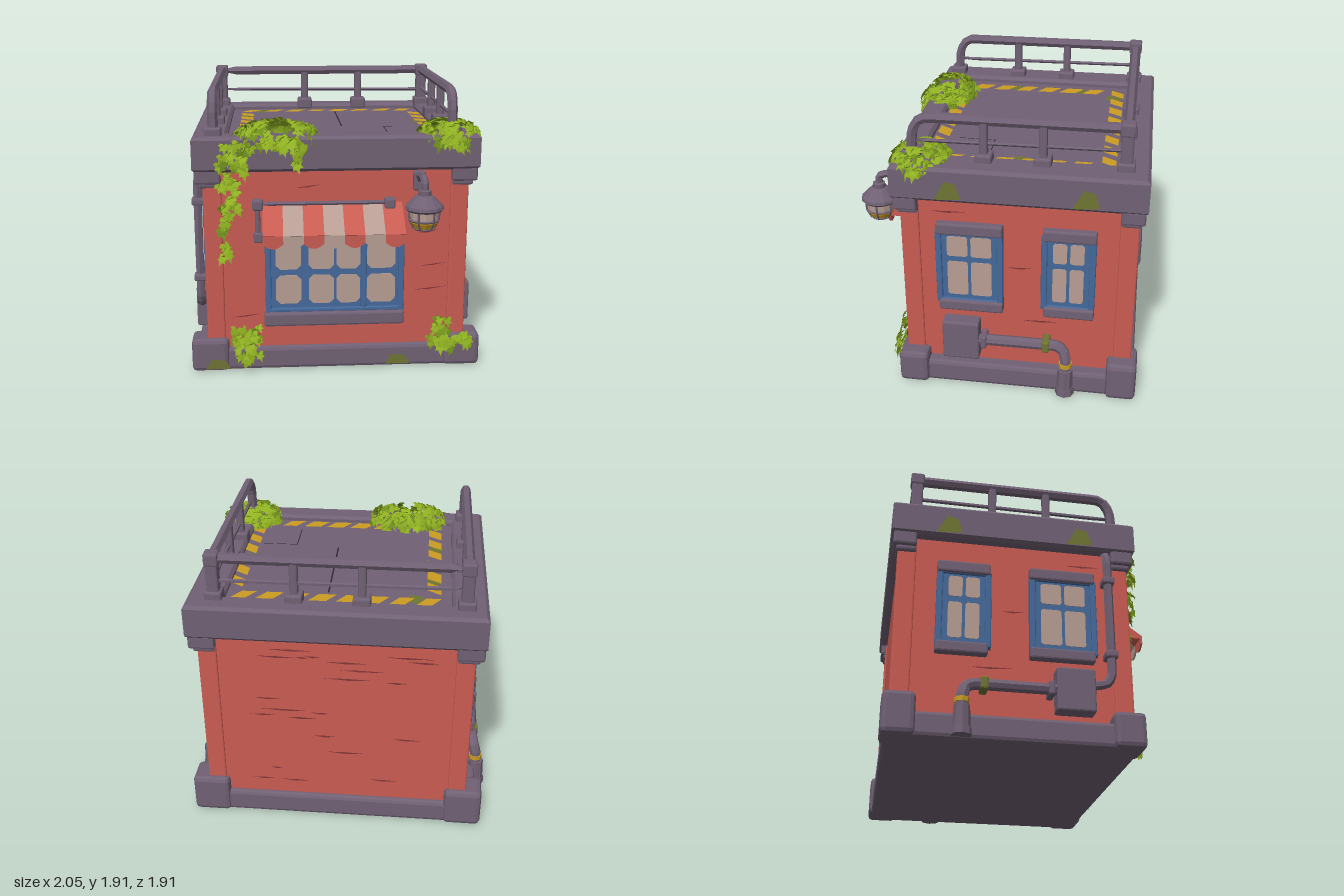
import * as THREE from 'three';
import { mergeGeometries } from 'three/addons/utils/BufferGeometryUtils.js';
import { RoundedBoxGeometry } from 'three/addons/geometries/RoundedBoxGeometry.js';

const V = (x, y, z) => new THREE.Vector3(x, y, z);
const CX = -0.012, CZ = -0.15; // centre of the building

function palette() {
  const colors = {
    wallRed: 0xc95c52, stonePurple: 0x706174, frameBlue: 0x45699a, paneBeige: 0xb79d93, warningYellow: 0xcb9c22,
    leafGreen: 0x90b122, leafDark: 0x6d8c1c, moss: 0x6f7433, crackDark: 0x2d2531, crackRed: 0x84383a,
  };
  const m = {};
  for (const [name, color] of Object.entries(colors)) {
    m[name] = new THREE.MeshStandardMaterial({ color, flatShading: true });
    m[name].name = name;
  }
  m.leafGreen.side = m.leafDark.side = m.moss.side = m.crackDark.side = m.crackRed.side = THREE.DoubleSide;
  return m;
}

export function createModel() {
  const root = new THREE.Group();
  root.name = 'smallShop';
  const M = palette();
  let seed = 11;
  const rnd = (a = 0, b = 1) => {
    seed = (seed * 16807) % 2147483647;
    return a + (b - a) * (seed / 2147483647);
  };

  const add = (name, geo, mat, parent = root) => {
    const mesh = new THREE.Mesh(geo, mat);
    mesh.name = name;
    parent.add(mesh);
    return mesh;
  };
  // chamfered box given by its limits
  const box = (name, mat, x0, x1, y0, y1, z0, z1, parent = root, bevel = 0.012) => {
    const w = x1 - x0, h = y1 - y0, d = z1 - z0;
    const geo = bevel ? new RoundedBoxGeometry(w, h, d, 1, Math.min(bevel, w / 3, h / 3, d / 3)) : new THREE.BoxGeometry(w, h, d);
    const mesh = add(name, geo, mat, parent);
    mesh.position.set((x0 + x1) / 2, (y0 + y1) / 2, (z0 + z1) / 2);
    return mesh;
  };
  const tube = (name, mat, pts, r, sides = 6) => {
    const path = new THREE.CurvePath();
    for (let i = 1; i < pts.length; i++) path.add(new THREE.LineCurve3(pts[i - 1], pts[i]));
    const curve = new THREE.CatmullRomCurve3(pts, false, 'catmullrom', 0.15);
    return add(name, new THREE.TubeGeometry(curve, pts.length * 6, r, sides), mat);
  };
  const polygon = (pts) => new THREE.Shape(pts.map(([x, y]) => new THREE.Vector2(x, y)));
  // flat patch on a face, turned by rx, ry
  const patch = (name, mat, pts, pos, rx = 0, ry = 0) => {
    const mesh = add(name, new THREE.ShapeGeometry(polygon(pts)), mat);
    mesh.position.copy(pos);
    mesh.rotation.set(rx, ry, 0);
    return mesh;
  };

  // Walls, corner pillars, base and corner stones
  box('walls', M.wallRed, CX - 0.86, CX + 0.86, 0.05, 1.42, CZ - 0.745, CZ + 0.745, root, 0);
  box('base', M.stonePurple, CX - 0.945, CX + 0.945, 0, 0.16, CZ - 0.78, CZ + 0.78, root, 0.025);
  for (const sx of [-1, 1]) for (const sz of [-1, 1]) {
    const corner = (name, mat, reach, reachZ, w, d, y0, y1, bevel) => {
      const xs = [CX + sx * reach, CX + sx * (reach - w)].sort((a, b) => a - b);
      const zs = [CZ + sz * reachZ, CZ + sz * (reachZ - d)].sort((a, b) => a - b);
      box(name, mat, ...xs, y0, y1, ...zs, root, bevel);
    };
    corner('cornerPillar', M.wallRed, 0.873, 0.758, 0.12, 0.12, 0.1, 1.4, 0.01);
    corner('cornerStone', M.stonePurple, 0.98, 0.8, 0.25, 0.2, 0, sz > 0 ? 0.23 : 0.27, 0.03);
    corner('cornerCapital', M.stonePurple, 0.925, 0.79, 0.17, 0.15, 1.3, 1.4, 0.015);
    corner('capitalStep', M.stonePurple, 0.9, 0.77, 0.14, 0.13, 1.27, 1.32, 0.015);
  }

  // Roof slab with raised rim and sunken floor
  const rect = (w, d) => [[-w, -d], [w, -d], [w, d], [-w, d]];
  const rim = polygon(rect(0.935, 0.803));
  rim.holes.push(polygon(rect(0.71, 0.64)));
  const rimGeo = new THREE.ExtrudeGeometry(rim, { depth: 0.19, bevelSize: 0.02, bevelThickness: 0.02, bevelOffset: -0.02, bevelSegments: 1 });
  rimGeo.rotateX(-Math.PI / 2);
  add('roofRim', rimGeo, M.stonePurple).position.set(CX, 1.4, CZ);
  box('roofFloor', M.stonePurple, -0.75, 0.73, 1.39, 1.57, -0.82, 0.52, root, 0);

  // Warning stripes around the roof floor
  const stripe = (x, z, turned) => {
    const l = 0.055 + rnd(-0.008, 0.008), k = 0.03;
    const pts = [[-l - k, -0.045], [l - k, -0.045], [l + k, 0.045], [-l + k, 0.045]];
    patch('roofStripe', M.warningYellow, pts, V(x, 1.573, z), -Math.PI / 2).rotation.z = turned ? Math.PI / 2 : 0;
  };
  for (let i = 0; i < 8; i++) {
    stripe(-0.58 + i * 0.167, -0.69, false);
    if (i > 1) stripe(-0.58 + i * 0.167, 0.43, false);
    if (i < 7) for (const x of [-0.61, 0.66]) stripe(x, -0.51 + i * 0.165, true);
  }
  for (const [x, z] of [[-0.5, -0.67], [-0.61, -0.42], [-0.62, 0.05], [0.63, -0.15]])
    patch('roofMoss', M.moss, [[-0.05, -0.05], [0.04, -0.06], [0.05, 0.03], [-0.02, 0.06]], V(x, 1.572, z), -Math.PI / 2);

  // Railing on the left, back and right edges
  const L = -0.81, R = 0.75, B = -0.8, top = 1.875;
  for (const x of [L, R]) {
    tube('sideRail', M.stonePurple, [V(x, 1.6, 0.54), V(x, 1.78, 0.53), V(x, 1.85, 0.49), V(x, top, 0.42), V(x, top, B)], 0.034);
    tube('sideMidRail', M.stonePurple, [V(x, 1.72, 0.53), V(x, 1.73, B)], 0.013, 5);
  }
  tube('backRail', M.stonePurple, [V(L - 0.02, top, B), V(R + 0.02, top, B)], 0.034);
  tube('backMidRail', M.stonePurple, [V(L, 1.73, B), V(R, 1.72, B)], 0.013, 5);
  const post = (x, z, w) => {
    box('railPost', M.stonePurple, x - w, x + w, 1.6, top, z - w, z + w);
    box('railFoot', M.stonePurple, x - 0.055, x + 0.055, 1.58, 1.66, z - 0.055, z + 0.055);
  };
  for (const x of [L, R]) {
    for (const z of [0.08, -0.29]) post(x, z, 0.026);
    post(x, B, 0.038);
    box('railFoot', M.stonePurple, x - 0.055, x + 0.055, 1.58, 1.66, 0.485, 0.595);
    box('railCorner', M.stonePurple, x - 0.045, x + 0.045, 1.83, 1.915, B - 0.045, B + 0.045);
  }
  for (const x of [-0.17, 0.25]) post(x, B, 0.026);

  // Window facing local +z, panes listed by column and row limits
  const windowUnit = (name, x0, x1, y0, y1, cols, rows, cut) => {
    const g = new THREE.Group();
    g.name = name;
    box('frameBack', M.frameBlue, x0, x1, y0, y1, -0.02, 0.02, g, 0);
    for (const x of [x0, x1 - 0.04]) box('frameSide', M.frameBlue, x, x + 0.04, y0, y1, 0, 0.035, g, 0.008);
    for (const y of [y0, y1 - 0.03]) box('frameBar', M.frameBlue, x0, x1, y, y + 0.03, 0, 0.035, g, 0.008);
    for (const [a, b] of cols) for (const [c, d] of rows) {
      const pts = [[a + cut, c], [b - cut, c], [b, c + cut], [b, d - cut], [b - cut, d], [a + cut, d], [a, d - cut], [a, c + cut]];
      add('pane', new THREE.ExtrudeGeometry(polygon(pts), { depth: 0.006, bevelEnabled: false }), M.paneBeige, g).position.z = 0.019;
    }
    root.add(g);
    return g;
  };

  // Shop window with sill
  const shop = windowUnit('shopWindow', -0.49, 0.44, 0.41, 0.98,
    [[-0.42, -0.25], [-0.2, -0.03], [-0.015, 0.145], [0.19, 0.38]], [[0.47, 0.67], [0.71, 0.89]], 0.03);
  shop.position.z = 0.6;
  box('mullion', M.frameBlue, 0.15, 0.185, 0.42, 0.97, 0, 0.032, shop, 0.006);
  box('shopSill', M.stonePurple, -0.5, 0.44, 0.32, 0.415, 0.58, 0.665, root, 0.015);

  // Striped awning with scalloped edge, end panels, bar and brackets
  const slope = polygon([[0.6, 1.16], [0.82, 1.0], [0.805, 0.985], [0.6, 1.135]]);
  const n = 7, sw = 0.92 / n;
  for (let i = 0; i < n; i++) {
    const mat = i % 2 ? M.paneBeige : M.wallRed, x = -0.5 + i * sw;
    const geo = new THREE.ExtrudeGeometry(slope, { depth: sw, bevelEnabled: false });
    geo.rotateY(-Math.PI / 2);
    add('awningStripe', geo, mat).position.x = x + sw;
    const flap = new THREE.Shape();
    flap.moveTo(sw, 0.945).lineTo(sw, 1.0).lineTo(0, 1.0).lineTo(0, 0.945).quadraticCurveTo(sw / 2, 0.88, sw, 0.945);
    add('awningFlap', new THREE.ExtrudeGeometry(flap, { depth: 0.012, bevelEnabled: false, curveSegments: 6 }), mat).position.set(x, 0, 0.806);
  }
  const sideGeo = new THREE.ExtrudeGeometry(polygon([[0.6, 1.15], [0.81, 0.995], [0.81, 0.98], [0.6, 0.98]]), { depth: 0.01, bevelEnabled: false });
  sideGeo.rotateY(-Math.PI / 2);
  for (const x of [-0.49, 0.419]) add('awningSide', sideGeo, M.wallRed).position.x = x;
  tube('awningBar', M.stonePurple, [V(-0.53, 1.165, 0.625), V(0.34, 1.165, 0.625)], 0.014);
  for (const x of [-0.53, 0.335]) box('awningBracket', M.stonePurple, x - 0.035, x + 0.035, 1.125, 1.195, 0.59, 0.66);
  box('awningCrankRod', M.stonePurple, -0.55, -0.515, 0.95, 1.13, 0.595, 0.63);
  box('awningCrank', M.stonePurple, -0.56, -0.5, 0.9, 0.97, 0.59, 0.64);

  // Wall lamp
  const lx = 0.53, lz = 0.835;
  box('lampMount', M.stonePurple, lx - 0.04, lx + 0.04, 1.24, 1.37, 0.59, 0.635);
  tube('lampArm', M.stonePurple, [V(lx, 1.31, 0.61), V(lx, 1.35, 0.66), V(lx, 1.36, 0.78), V(lx, 1.34, 0.83), V(lx, 1.26, lz)], 0.025);
  const lathe = (name, pts, mat) => add(name, new THREE.LatheGeometry(pts.map((p) => new THREE.Vector2(...p)), 12), mat).position.set(lx, 0, lz);
  lathe('lampShade', [[0, 1.165], [0.11, 1.16], [0.125, 1.175], [0.12, 1.195], [0.06, 1.255], [0.042, 1.26], [0.042, 1.29], [0, 1.3]], M.stonePurple);
  lathe('lampGlass', [[0.06, 1.04], [0.088, 1.09], [0.092, 1.165]], M.paneBeige);
  lathe('lampGlow', [[0, 1.03], [0.061, 1.038], [0.089, 1.085], [0.091, 1.1]], M.warningYellow);
  for (const [y, r] of [[1.1, 0.09], [1.045, 0.064]]) {
    const ring = add('lampCageRing', new THREE.TorusGeometry(r, 0.008, 4, 12), M.stonePurple);
    ring.rotation.x = Math.PI / 2;
    ring.position.set(lx, y, lz);
  }
  for (let i = 0; i < 6; i++) {
    const c = Math.cos(i * Math.PI / 3), s = Math.sin(i * Math.PI / 3);
    tube('lampCageBar', M.stonePurple, [[0.098, 1.165], [0.094, 1.1], [0.065, 1.04]].map(([r, y]) => V(lx + c * r, y, lz + s * r)), 0.007, 4);
  }

  // Side walls: two windows, meter box and pipe on each
  for (const s of [-1, 1]) {
    const X = (d) => CX + s * (0.86 + d);
    const sideBox = (name, mat, d, y0, y1, z0, z1) => box(name, mat, Math.min(X(-0.02), X(d)), Math.max(X(-0.02), X(d)), y0, y1, z0, z1);
    for (const [z, w] of [[0.165, 0.22], [-0.475, 0.175]]) {
      const p = w - 0.075;
      const g = windowUnit('sideWindow', -w, w, 0.62, 1.16, [[-p, -0.01], [0.01, p]], [[0.68, 0.93], [0.97, 1.115]], 0.012);
      g.position.set(X(0), 0, z);
      g.rotation.y = s * Math.PI / 2;
      sideBox('windowLintel', M.stonePurple, 0.05, 1.135, 1.215, z - w, z + w - 0.01);
      sideBox('windowSill', M.stonePurple, 0.055, 0.57, 0.645, z - w, z + w - 0.02);
    }
    sideBox('meterBox', M.stonePurple, 0.1, 0.215, 0.5, 0.1, 0.345);
    tube('sidePipe', M.stonePurple, [V(X(0.06), 0.36, 0.12), V(X(0.06), 0.36, -0.4), V(X(0.07), 0.33, -0.46), V(X(0.09), 0.26, -0.48), V(X(0.1), 0.03, -0.48)], 0.038, 8);
    sideBox('pipeCollar', M.stonePurple, 0.105, 0.31, 0.405, 0.05, 0.09);
    sideBox('mossyCollar', M.moss, 0.102, 0.318, 0.402, -0.37, -0.32);
    add('pipeBand', new THREE.CylinderGeometry(0.045, 0.045, 0.03, 8), M.warningYellow).position.set(X(0.09), 0.235, -0.48);
    add('pipeSleeve', new THREE.CylinderGeometry(0.05, 0.055, 0.14, 8), M.stonePurple).position.set(X(0.098), 0.13, -0.48);
    add('pipeFoot', new THREE.CylinderGeometry(0.06, 0.065, 0.05, 8), M.stonePurple).position.set(X(0.098), 0.035, -0.48);
    for (const z of [0.28, -0.58])
      patch('slabMoss', M.moss, [[-0.09, -0.06], [0.08, -0.05], [0.05, 0.05], [-0.02, 0.07]], V(CX + s * 0.938, 1.46, z), 0, s * Math.PI / 2);
    for (const [y, z, l] of [[0.5, -0.3, 0.14], [1.28, 0.3, 0.12], [0.9, -0.16, 0.08]])
      patch('wallCrack', M.crackRed, [[-l, 0], [0, -0.008], [l, 0.005], [0, 0.005]], V(X(0.002), y, z), 0, s * Math.PI / 2);
  }
  // Drainpipe on the right-hand wall as seen from behind
  tube('drainPipe', M.stonePurple, [V(-0.89, 1.38, 0.46), V(-0.93, 1.28, 0.46), V(-0.93, 0.5, 0.46), V(-0.93, 0.42, 0.42), V(-0.93, 0.4, 0.32)], 0.03);
  for (const y of [0.62, 1.15]) box('drainClamp', M.stonePurple, -0.97, -0.87, y - 0.025, y + 0.025, 0.42, 0.5);

  // Cracks in the plaster and roof, moss on the base
  for (let i = 0; i < 22; i++) {
    const l = rnd(0.04, 0.16), x = rnd(-0.6, 0.6), y = rnd(0.25, 1.3);
    patch('backCrack', M.crackRed, [[-l, 0.003], [0, -0.008], [l, 0], [0, 0.006]], V(x, y, -0.897), 0, Math.PI);
  }
  for (const [x, y, l] of [[0.62, 0.55, 0.12], [0.64, 0.72, 0.1], [-0.62, 0.38, 0.1], [0.6, 0.95, 0.07], [-0.2, 1.27, 0.09]])
    patch('frontCrack', M.crackRed, [[-l, -0.01], [0, -0.006], [l, 0.015], [0, 0.004]], V(x, y, 0.597));
  patch('roofCrack', M.crackDark, [[0.055, -0.05], [0.065, -0.05], [0.062, 0.62], [0.052, 0.62]], V(0, 1.572, 0), -Math.PI / 2);
  patch('roofSeam', M.crackDark, [[0.35, -0.33], [0.356, -0.33], [0.356, -0.076], [0.6, -0.076], [0.6, -0.07], [0.35, -0.07]], V(0, 1.572, 0), -Math.PI / 2);
  for (const [x, y, z] of [[0.4, 0.05, 0.633], [-0.82, 0.05, 0.653]])
    patch('baseMoss', M.moss, [[-0.08, -0.03], [0.09, -0.03], [0.05, 0.03], [-0.04, 0.04]], V(x, y, z));

  // Ivy: five-pointed folded leaves
  const outline = [[0, 0.15], [0.3, 0.3], [0.55, 0.1], [0.36, -0.15], [0.48, -0.5], [0.2, -0.5], [0, -1], [-0.2, -0.5], [-0.48, -0.5], [-0.36, -0.15], [-0.55, 0.1], [-0.3, 0.3]];
  const leafGeo = new THREE.ShapeGeometry(polygon(outline)).toNonIndexed();
  const lp = leafGeo.attributes.position;
  for (let i = 0; i < lp.count; i++) lp.setZ(i, -0.35 * Math.abs(lp.getX(i)) - 0.25 * lp.getY(i) ** 2);
  const leaves = { leafGreen: [], leafDark: [] };
  const leaf = (pos, normal, size) => {
    const nrm = normal.clone().add(V(rnd(-0.5, 0.5), rnd(-0.3, 0.5), rnd(-0.5, 0.5))).normalize();
    const up = V(rnd(-0.6, 0.6), 1, rnd(-0.5, 0.1));
    const side = up.cross(nrm).normalize();
    const mat = new THREE.Matrix4().makeBasis(side, nrm.clone().cross(side), nrm);
    mat.scale(V(size, size, size)).setPosition(pos);
    leaves[rnd() < 0.8 ? 'leafGreen' : 'leafDark'].push(leafGeo.clone().applyMatrix4(mat));
  };
  // bushy mounds over the roof edge: centre, radii, count
  for (const [c, r, count] of [[V(-0.4, 1.58, 0.53), V(0.29, 0.12, 0.2), 150], [V(0.73, 1.58, 0.49), V(0.21, 0.11, 0.2), 105]])
    for (let i = 0; i < count; i++) {
      const a = rnd(0, Math.PI * 2), h = rnd(0, 1), q = Math.sqrt(1 - h * h * 0.9);
      const dir = V(Math.cos(a) * q, h, Math.sin(a) * q);
      const p = c.clone().add(dir.clone().multiply(r));
      if (p.z > 0.64) p.y -= rnd(0, 0.07);
      leaf(p, dir, rnd(0.055, 0.09));
    }
  // hanging and ground strands: x range, y range, z, count
  for (const [x0, x1, y0, y1, z, count] of [[-0.78, -0.6, 1.38, 1.58, 0.68, 24], [-0.77, -0.66, 1.05, 1.4, 0.66, 20], [-0.77, -0.7, 0.8, 1.1, 0.64, 8],
    [-0.29, -0.23, 1.44, 1.55, 0.68, 5], [-0.7, -0.54, 0.1, 0.36, 0.68, 28], [0.6, 0.88, 0.15, 0.25, 0.68, 24], [0.66, 0.74, 0.25, 0.38, 0.65, 9]])
    for (let i = 0; i < count; i++) leaf(V(rnd(x0, x1), rnd(y0, y1), z + rnd(-0.02, 0.04)), V(0, 0.2, 1), rnd(0.05, 0.08));
  for (const key in leaves) add('ivyLeaves', mergeGeometries(leaves[key]), M[key]);

  return root;
}
